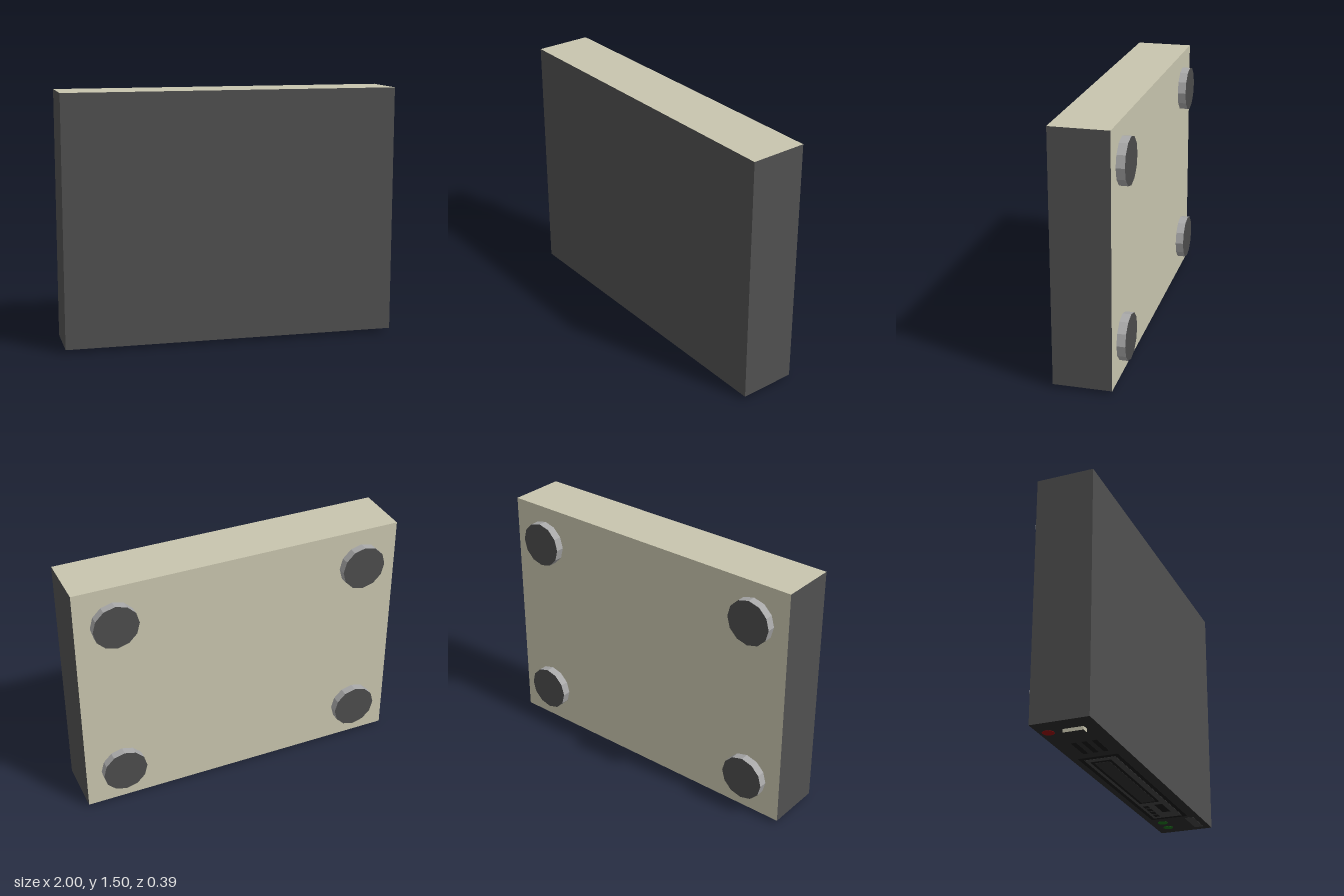
import * as THREE from 'three';

const mat = (color) => new THREE.MeshStandardMaterial({ color, flatShading: true });
const beige = mat(0xc8c5ae), shell = mat(0x505050), panel = mat(0x2a2a2a), black = mat(0x161616);
const plate = mat(0x404040), bar = mat(0x2c2c2c), rubber = mat(0x4c4c4c), footSide = mat(0xa8a8a8);
const green = mat(0x1a6a1a), red = mat(0x900808);

const BASE = 0.02; // height of the downward-facing control panel

export function createModel() {
  const model = new THREE.Group();
  model.name = 'computerCase';

  const add = (name, geometry, material, x, y, z, parent = model) => {
    const mesh = new THREE.Mesh(geometry, material);
    mesh.name = name;
    mesh.position.set(x, y, z);
    parent.add(mesh);
    return mesh;
  };

  // Case: face order is +x, -x, +y, -y, +z, -z
  add('case', new THREE.BoxGeometry(2, 1.485, 0.34),
    [shell, shell, beige, panel, shell, beige], 0, BASE + 0.7425, 0.025);

  // Four twelve-sided feet on the back
  for (const x of [-0.77, 0.77]) {
    for (const y of [0.248, 1.275]) {
      const foot = add('foot', new THREE.CylinderGeometry(0.136, 0.136, 0.05, 12),
        [footSide, rubber, rubber], x, y, -0.17);
      foot.rotation.x = -Math.PI / 2;
    }
  }

  // Panel details sit on the underside, each layer slightly prouder than the last
  const details = new THREE.Group();
  details.name = 'controlPanel';
  model.add(details);
  const patch = (name, material, x, z, w, d, layer = 1) => {
    const h = 0.0015 * layer;
    add(name, new THREE.BoxGeometry(w, h, d), material, x, BASE - h / 2, z, details);
  };
  const disc = (name, material, x, z, r) =>
    add(name, new THREE.CylinderGeometry(r, r, 0.002, 12), material, x, BASE - 0.001, z, details);

  // Indicator lights, power button and name plate without lettering
  disc('indicatorLight', green, 0.895, -0.063, 0.032);
  disc('indicatorLight', green, 0.79, -0.063, 0.032);
  disc('powerButton', red, -0.87, -0.094, 0.034);
  patch('badgePlate', plate, 0.85, 0.127, 0.2, 0.055);

  // Drive bay: black surround, grey face, slot with its door
  patch('driveSurround', black, 0.125, 0.012, 1.17, 0.235, 1);
  patch('driveFace', plate, 0.125, 0.012, 1.11, 0.185, 2);
  patch('driveSlot', black, -0.01, 0.003, 0.77, 0.125, 3);
  patch('driveDoor', bar, -0.01, 0.003, 0.73, 0.09, 4);
  for (let i = 0; i < 4; i++) patch('driveButton', black, 0.626 - i * 0.058, -0.045, 0.042, 0.032, 3);
  patch('driveDisplay', black, 0.5, 0.04, 0.15, 0.05, 3);

  // Vent slots
  for (let i = 0; i < 3; i++) patch('ventSlot', black, -0.605, -0.031 + i * 0.06, 0.17, 0.03);

  // Rocker switch, dark on its outer face
  add('rockerSwitch', new THREE.BoxGeometry(0.04, BASE, 0.12),
    [beige, beige, beige, panel, beige, beige], -0.87, BASE / 2, 0.055, details);

  return model;
}
